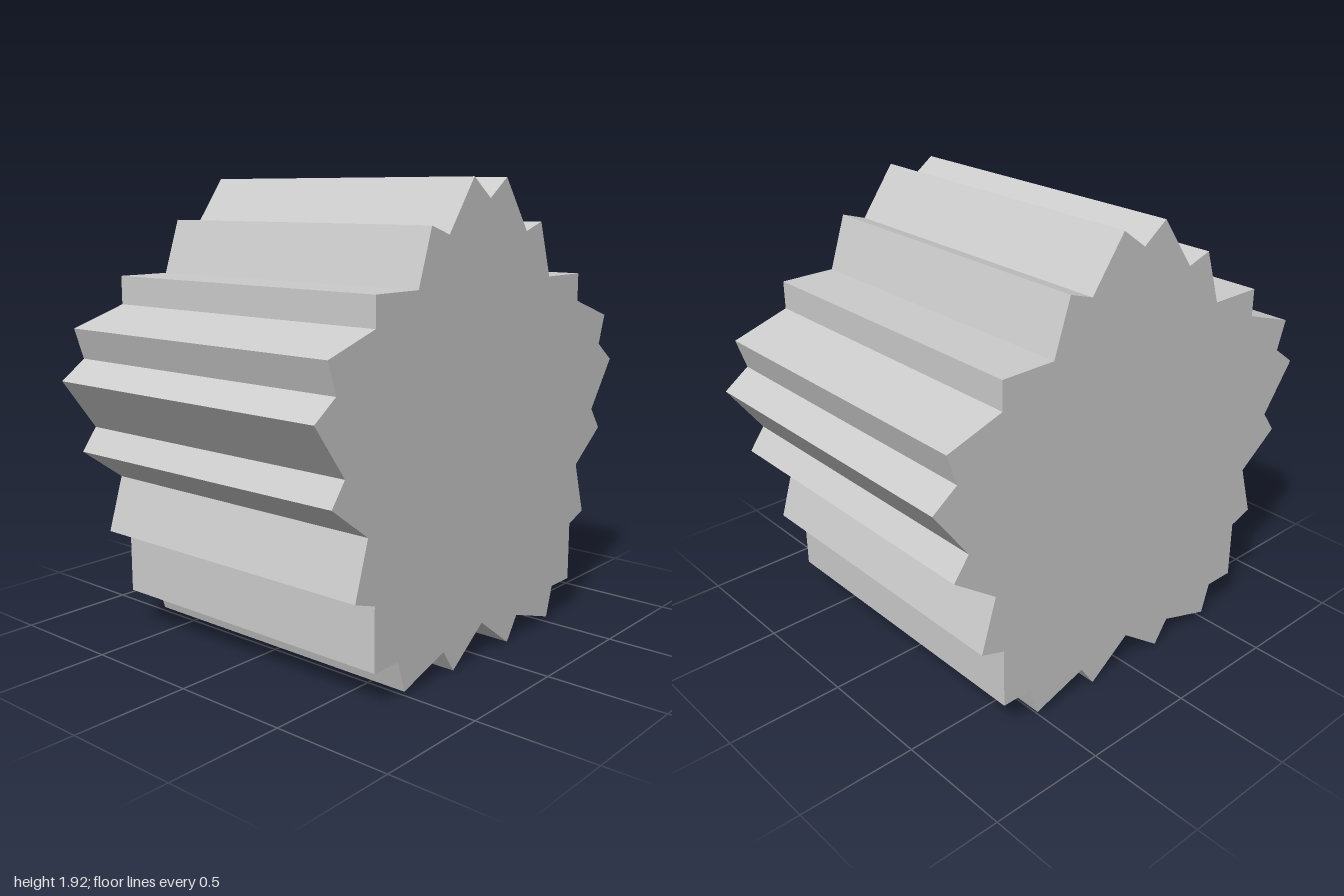
import * as THREE from 'three';

export function createModel() {
  const model = new THREE.Group();
  const depth = 1.37;

  // Right half of the toothed outline, from top centre to bottom centre
  const half = [
    [0, 1.84], [0.11, 1.92], [0.262, 1.71], [0.37, 1.745], [0.445, 1.52],
    [0.685, 1.52], [0.685, 1.402], [0.932, 1.322], [0.89, 1.195], [1, 1.115],
    [0.846, 0.904], [0.915, 0.81], [0.723, 0.67], [0.793, 0.442], [0.685, 0.407],
    [0.685, 0.15], [0.548, 0.15], [0.508, 0.02], [0.262, 0.099], [0.194, 0], [0, 0.142],
  ];

  // Mirror the half to close the outline
  const mirrored = half.slice(1, -1).reverse().map(([x, y]) => [-x, y]);
  const outline = [...half, ...mirrored].map(([x, y]) => new THREE.Vector2(x, y));

  // Solid prism with straight ridges running front to back
  const geometry = new THREE.ExtrudeGeometry(new THREE.Shape(outline), { depth, bevelEnabled: false });
  geometry.translate(0, 0, -depth / 2);
  const material = new THREE.MeshStandardMaterial({ color: 0xcccccc, flatShading: true });
  const body = new THREE.Mesh(geometry, material);
  body.name = 'toothedPrism';
  model.add(body);

  return model;
}
